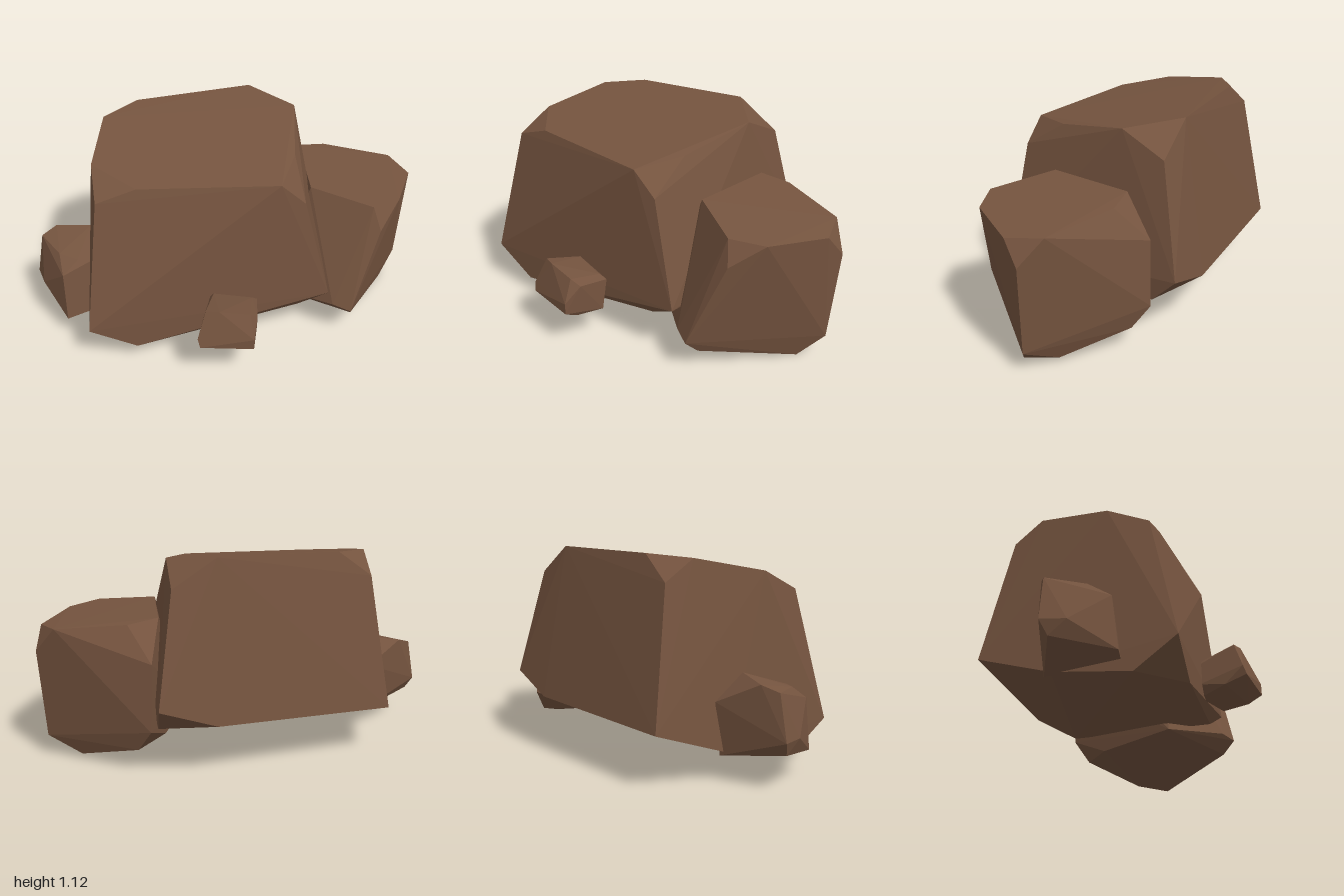
import * as THREE from 'three';
import { ConvexGeometry } from 'three/addons/geometries/ConvexGeometry.js';

// Each boulder is the faceted hull of a few corner points [x, y, z].
const BOULDERS = {
  mainBoulder: [
    // top face
    [-0.52, 0.91, 0.57], [-0.33, 0.975, 0.5], [0.36, 0.97, 0.32], [0.39, 1.0, 0.05],
    [0.33, 1.08, -0.37], [0.05, 1.115, -0.51], [-0.53, 1.1, -0.22], [-0.66, 1.08, -0.02],
    [-0.6, 1.01, 0.37],
    // shoulders
    [0.48, 0.85, 0.27], [0.26, 0.97, -0.6], [-0.7, 0.97, -0.17],
    // widest corners
    [-0.555, 0.23, 0.74], [0.63, 0.29, 0.255], [0.305, 0.4, -0.75], [0.03, 0.3, -0.65],
    [-0.82, 0.28, -0.25],
    // underside
    [-0.62, 0.08, 0.54], [-0.33, 0.09, 0.65], [0.47, 0.2, 0.27], [0.34, 0.26, -0.62],
    [-0.73, 0.14, 0.15],
  ],
  sideBoulder: [
    // top face
    [0.82, 0.745, 0.07], [0.95, 0.73, -0.06], [1.0, 0.715, -0.38], [0.88, 0.735, -0.53],
    [0.5, 0.77, -0.53], [0.36, 0.79, -0.45], [0.48, 0.785, 0.0],
    // sides
    [0.87, 0.62, 0.1], [1.0, 0.6, -0.48], [0.36, 0.6, -0.63], [0.37, 0.25, -0.65],
    [0.76, 0.18, 0.255], [0.66, 0.2, 0.24],
    // underside
    [0.91, 0.0, -0.33], [0.98, 0.12, -0.45], [0.79, 0.03, -0.47], [0.45, 0.13, -0.6],
    [0.76, 0.11, 0.18], [0.3, 0.16, 0.1], [0.35, 0.14, -0.4],
  ],
  leftSmallRock: [
    // top face
    [-0.96, 0.48, 0.3], [-0.9, 0.51, 0.23], [-0.7, 0.53, 0.22], [-0.65, 0.51, 0.25],
    [-0.61, 0.46, 0.42], [-0.7, 0.46, 0.45], [-0.81, 0.47, 0.43],
    // sides
    [-0.76, 0.4, 0.53], [-1.0, 0.25, 0.32], [-0.93, 0.25, 0.42], [-0.73, 0.4, 0.07],
    // underside
    [-0.75, 0.13, 0.56], [-0.63, 0.15, 0.48], [-0.96, 0.18, 0.34], [-0.72, 0.13, 0.1],
  ],
  frontSmallRock: [
    // top face
    [0.05, 0.42, 0.68], [0.12, 0.425, 0.68], [0.27, 0.4, 0.64], [0.3, 0.36, 0.6],
    [0.25, 0.37, 0.47], [0.05, 0.38, 0.49],
    // sides
    [0.27, 0.34, 0.44], [0.03, 0.35, 0.47], [0.0, 0.23, 0.5], [0.02, 0.28, 0.74],
    [0.035, 0.235, 0.75], [0.3, 0.22, 0.69], [0.3, 0.28, 0.69],
    // underside
    [0.01, 0.2, 0.64], [0.28, 0.18, 0.62], [0.28, 0.175, 0.47], [0.05, 0.18, 0.47],
  ],
};

export function createModel() {
  const group = new THREE.Group();
  group.name = 'rockCluster';
  const stone = new THREE.MeshStandardMaterial({ color: 0x75543f });
  stone.name = 'brownStone';

  for (const [name, corners] of Object.entries(BOULDERS)) {
    const points = corners.map((c) => new THREE.Vector3(...c));
    const mesh = new THREE.Mesh(new ConvexGeometry(points), stone);
    mesh.name = name;
    group.add(mesh);
  }
  return group;
}
